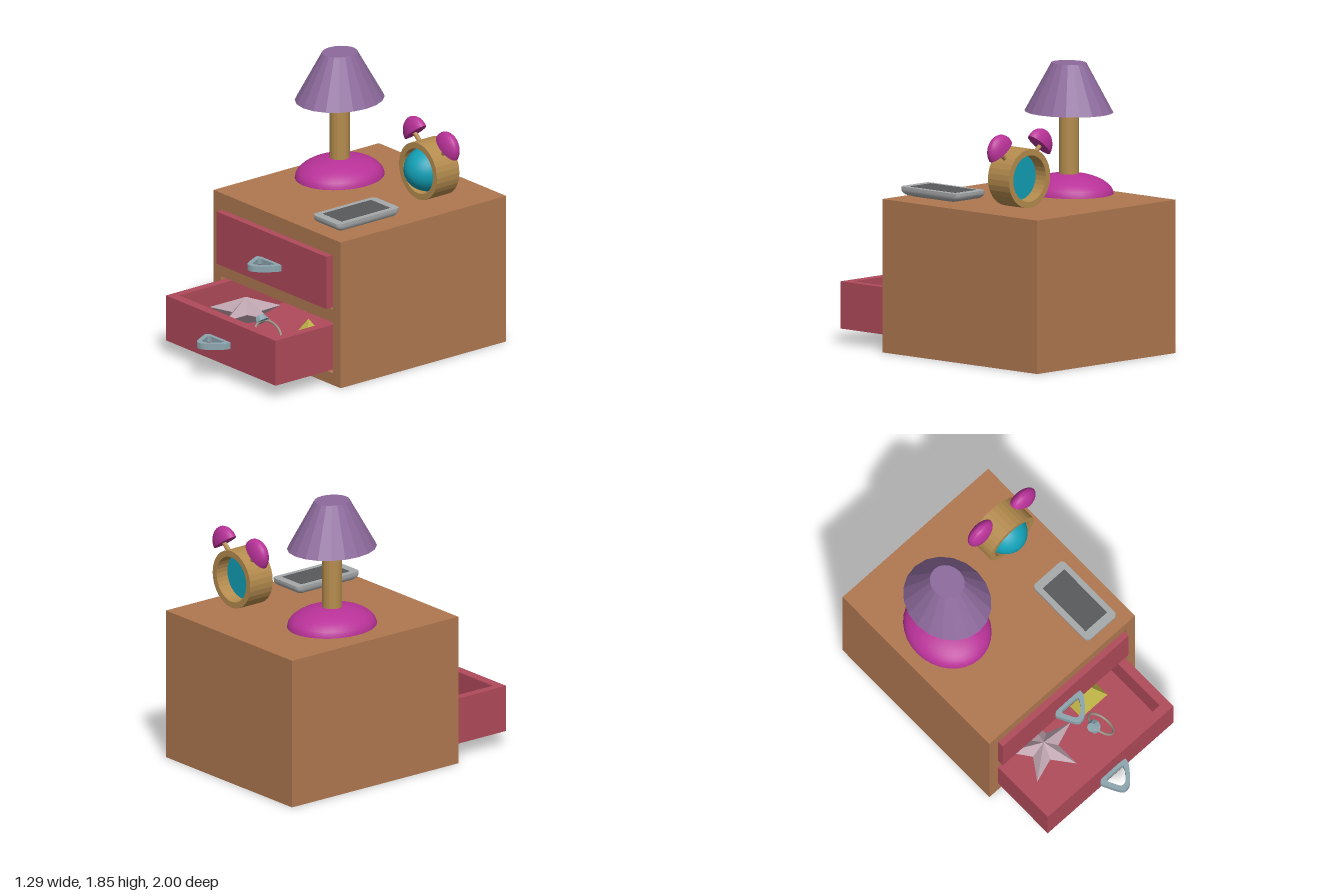
import * as THREE from 'three';
import { toCreasedNormals } from 'three/addons/utils/BufferGeometryUtils.js';

const COLORS = {
  wood: 0xb07850, red: 0xb04a5a, tan: 0xb58c4e, magenta: 0xb83298, purple: 0x8d6a9c,
  teal: 0x129fb5, steel: 0x8ca5ae, silver: 0xa6a9aa, dark: 0x58595b, pink: 0xbfa5b0, yellow: 0xc0b548, ring: 0xa09488,
};

function add(parent, name, geometry, color, x = 0, y = 0, z = 0, flat = false) {
  const material = new THREE.MeshStandardMaterial({ color: COLORS[color], flatShading: flat });
  const mesh = new THREE.Mesh(geometry, material);
  mesh.name = name;
  mesh.position.set(x, y, z);
  parent.add(mesh);
  return mesh;
}

function group(parent, name) {
  const g = new THREE.Group();
  g.name = name;
  parent.add(g);
  return g;
}

const rect = (x0, y0, x1, y1) =>
  [[x0, y0], [x1, y0], [x1, y1], [x0, y1]].map(([x, y]) => new THREE.Vector2(x, y));

function plate(outline, holes, depth) {
  const shape = new THREE.Shape(outline);
  shape.holes = holes.map((h) => new THREE.Path(h));
  return new THREE.ExtrudeGeometry(shape, { depth, bevelEnabled: false });
}

// Closed half ellipsoid, flat side on y = 0, dome upwards
function dome(rx, ry, rz, segments = 32) {
  const points = [new THREE.Vector2(0, 0)];
  for (let i = 0; i <= 10; i++) {
    const a = (i / 10) * Math.PI / 2;
    points.push(new THREE.Vector2(i === 10 ? 0 : Math.cos(a), Math.sin(a)));
  }
  return toCreasedNormals(new THREE.LatheGeometry(points, segments).scale(rx, ry, rz), 0.7);
}

// Rounded triangular pull, pointing forwards from z = 0
function handleGeometry() {
  const outer = new THREE.SplineCurve([
    [-0.1, 0], [0.085, 0], [0.105, 0.018], [0.09, 0.055], [0.02, 0.14],
    [-0.03, 0.16], [-0.065, 0.14], [-0.118, 0.04], [-0.123, 0.015], [-0.1, 0],
  ].map(([x, y]) => new THREE.Vector2(x, y))).getPoints(45).slice(0, -1);
  const centre = new THREE.Vector2(-0.013, 0.065);
  const inner = outer.map((p) => p.clone().sub(centre).multiplyScalar(0.62).add(centre));
  return toCreasedNormals(plate(outer, [inner], 0.04).rotateX(Math.PI / 2), 0.6);
}

// Open-topped drawer with its handle
function drawer(parent, name, y0, y1, front, handleTop) {
  const g = group(parent, name);
  const back = front - 1.2;
  const walls = plate(rect(-0.56, back, 0.54, front), [rect(-0.505, back + 0.06, 0.48, front - 0.065)], y1 - y0);
  add(g, 'drawerWalls', walls.rotateX(Math.PI / 2), 'red', 0, y1, 0);
  add(g, 'drawerFloor', new THREE.BoxGeometry(1.09, 0.055, 1.19), 'red', -0.01, y0 + 0.0285, front - 0.6);
  add(g, 'handle', handleGeometry(), 'steel', 0, handleTop, front + 0.01);
}

// Five-pointed star, raised to a point above and below
function starGeometry(outer, inner, height) {
  const rim = (i) => {
    const a = THREE.MathUtils.degToRad(-1 + i * 36);
    const r = i % 2 ? inner : outer;
    return [r * Math.cos(a), 0, r * Math.sin(a)];
  };
  const v = [];
  for (let i = 0; i < 10; i++) {
    v.push(...rim(i + 1), ...rim(i), 0, height, 0);
    v.push(...rim(i), ...rim(i + 1), 0, -height, 0);
  }
  const geometry = new THREE.BufferGeometry();
  geometry.setAttribute('position', new THREE.Float32BufferAttribute(v, 3));
  geometry.computeVertexNormals();
  return geometry;
}

// Rounded slab whose sides curve in towards the underside
function slabGeometry(w, d, h, r) {
  const s = new THREE.Shape();
  const x = w / 2, y = d / 2;
  s.absarc(x - r, y - r, r, 0, Math.PI / 2);
  s.absarc(-x + r, y - r, r, Math.PI / 2, Math.PI);
  s.absarc(-x + r, -y + r, r, Math.PI, Math.PI * 1.5);
  s.absarc(x - r, -y + r, r, Math.PI * 1.5, Math.PI * 2);
  const g = new THREE.ExtrudeGeometry(s, { depth: h, steps: 6, bevelEnabled: false, curveSegments: 6 });
  g.rotateX(-Math.PI / 2);
  const p = g.attributes.position;
  for (let i = 0; i < p.count; i++) {
    const t = Math.min(1, p.getY(i) / (h * 0.75));
    const k = 0.72 + 0.28 * Math.sqrt(Math.max(0, 1 - (1 - t) ** 2));
    p.setX(i, p.getX(i) * k);
    p.setZ(i, p.getZ(i) * k);
  }
  return toCreasedNormals(g, 0.6);
}

export function createModel() {
  const model = new THREE.Group();
  model.name = 'bedsideTable';

  // Cabinet with two drawer openings
  const cabinet = group(model, 'cabinet');
  const slots = [rect(-0.565, 0.08, 0.56, 0.425), rect(-0.565, 0.515, 0.56, 0.88)];
  add(cabinet, 'cabinetBody', plate(rect(-0.64, 0, 0.635, 0.99), slots, 1.32), 'wood', 0, 0, -0.95);
  add(cabinet, 'cabinetBack', new THREE.BoxGeometry(1.275, 0.99, 0.05), 'wood', -0.0025, 0.495, -0.975);

  drawer(model, 'upperDrawer', 0.52, 0.875, 0.41, 0.7);
  drawer(model, 'lowerDrawer', 0.097, 0.402, 0.83, 0.27);

  // Things kept in the lower drawer
  const contents = group(model, 'drawerContents');
  add(contents, 'star', starGeometry(0.24, 0.095, 0.09), 'pink', -0.23, 0.305, 0.44, true);
  const pyramid = new THREE.ConeGeometry(0.163, 0.195, 4).rotateY(Math.PI / 4);
  add(contents, 'pyramid', pyramid, 'yellow', 0.235, 0.248, 0.305, true);
  const ring = group(contents, 'ring');
  ring.position.set(0.15, 0.28, 0.57);
  ring.rotation.z = -0.85;
  add(ring, 'ringBand', new THREE.TorusGeometry(0.095, 0.008, 8, 28).rotateX(Math.PI / 2), 'ring');
  const gem = new THREE.CylinderGeometry(0.03, 0.048, 0.04, 8).rotateZ(Math.PI / 2);
  add(ring, 'ringGem', gem, 'steel', -0.11, 0, 0, true);

  // Lamp, slightly longer front to back
  const lamp = group(model, 'lamp');
  lamp.position.set(-0.295, 0, -0.39);
  add(lamp, 'lampBase', dome(0.265, 0.13, 0.302), 'magenta', 0, 1.01, 0);
  add(lamp, 'lampPole', new THREE.CylinderGeometry(0.065, 0.065, 0.44, 20), 'tan', 0, 1.33, 0, true);
  const shade = new THREE.CylinderGeometry(0.105, 0.265, 0.315, 20).scale(1, 1, 1.14);
  add(lamp, 'lampShade', shade, 'purple', 0, 1.6925, 0, true);

  // Alarm clock
  const clock = group(model, 'alarmClock');
  const profile = [[0.15, -0.093], [0.19, -0.093], [0.19, 0.093], [0.15, 0.093], [0.15, -0.093]];
  const rim = new THREE.LatheGeometry(profile.map(([x, y]) => new THREE.Vector2(x, y)), 32);
  add(clock, 'clockRim', rim.rotateX(Math.PI / 2), 'tan', 0.368, 1.2, -0.584, true);
  add(clock, 'clockFace', dome(0.152, 0.178, 0.148).rotateX(Math.PI / 2), 'teal', 0.368, 1.2, -0.588);

  // Bells on short stems, leaning outwards
  for (const [name, x, y, z, tilt] of [
    ['rightBell', 0.205, 1.392, -0.605, 0.67],
    ['leftBell', 0.543, 1.385, -0.587, -0.6],
  ]) {
    const bell = group(clock, name);
    bell.position.set(x, y, z);
    bell.rotation.z = tilt;
    add(bell, 'bellDome', dome(0.108, 0.108, 0.056, 24), 'magenta');
    const stem = add(bell, 'bellStem', new THREE.CylinderGeometry(0.015, 0.015, 0.13, 10), 'tan', 0, -0.04, 0);
    stem.rotation.z = tilt > 0 ? 0.2 : -0.25;
  }

  // Phone lying on the top
  const phone = group(model, 'phone');
  add(phone, 'phoneBody', slabGeometry(0.265, 0.515, 0.06, 0.03), 'silver', 0.407, 1.008, 0.053);
  add(phone, 'phoneScreen', new THREE.BoxGeometry(0.19, 0.008, 0.4), 'dark', 0.407, 1.066, 0.052);

  return model;
}
